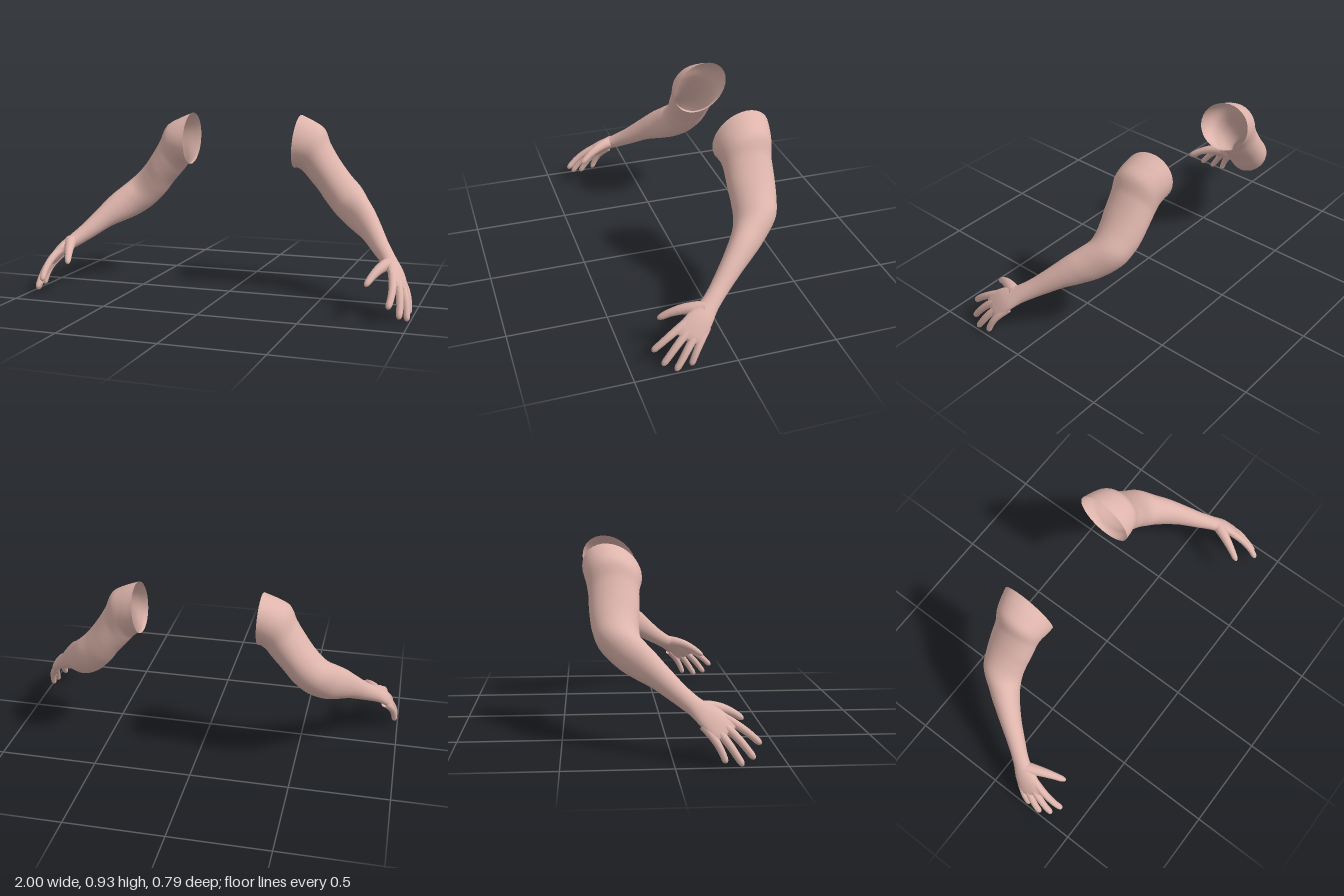
import * as THREE from 'three';

const V = (a) => new THREE.Vector3(...a);
const ACROSS = V([0.46, -0.42, -0.78]).normalize(); // across the palm, from index to little finger

// Smooth skin through stations of [centre, half-width vector, half-height vector]; side -1 mirrors it
function loft(stations, rings, sides, side) {
  const [c, u, v] = [0, 1, 2].map((k) => new THREE.CatmullRomCurve3(stations.map((s) => V(s[k]))));
  const pos = [], index = [];
  for (let i = 0; i <= rings; i++) {
    const t = i / rings, C = c.getPoint(t), U = u.getPoint(t), W = v.getPoint(t);
    for (let j = 0; j < sides; j++) {
      const a = (j / sides) * Math.PI * 2;
      const p = C.clone().addScaledVector(U, Math.cos(a)).addScaledVector(W, Math.sin(a));
      pos.push(p.x * side, p.y, p.z);
      if (i === rings) continue;
      const k = (j + 1) % sides, A = i * sides + j, B = i * sides + k;
      const quad = [A, B, A + sides, B, B + sides, A + sides];
      index.push(...(side > 0 ? quad : quad.reverse()));
    }
  }
  const g = new THREE.BufferGeometry();
  g.setAttribute('position', new THREE.Float32BufferAttribute(pos, 3));
  g.setIndex(index);
  g.computeVertexNormals();
  return g;
}

// Round tapering digit along a path, with a domed tip
function digit(path, r0, r1, side) {
  const curve = new THREE.CatmullRomCurve3(path.map(V));
  const steps = [[0, 1], [0.25, 1], [0.5, 1], [0.75, 1], [0.9, 1], [0.96, 0.78], [0.99, 0.42], [1, 0.02]];
  const stations = steps.map(([t, k]) => {
    const T = curve.getTangent(t);
    const u = ACROSS.clone().addScaledVector(T, -T.dot(ACROSS)).normalize();
    const v = T.clone().cross(u);
    const r = (r0 + (r1 - r0) * t) * k;
    return [curve.getPoint(t).toArray(), u.multiplyScalar(r).toArray(), v.multiplyScalar(r).toArray()];
  });
  return loft(stations, 28, 14, side);
}

// Shoulder opening to knuckles
const ARM = [
  [[0.303, 0.788, -0.25], [0, 0.03, -0.146], [0.007, 0.136, 0]],
  [[0.346, 0.773, -0.248], [0, 0.02, -0.141], [0.034, 0.122, 0]],
  [[0.388, 0.747, -0.247], [0, 0.01, -0.131], [0.053, 0.112, 0]],
  [[0.42, 0.693, -0.246], [0, 0, -0.122], [0.055, 0.092, 0]],
  [[0.473, 0.62, -0.245], [0, 0, -0.12], [0.05, 0.085, 0]],
  [[0.525, 0.55, -0.242], [0.01, 0, -0.112], [0.053, 0.08, 0.005]],
  [[0.585, 0.487, -0.225], [0.03, 0.01, -0.098], [0.05, 0.078, 0.02]],
  [[0.645, 0.435, -0.17], [0.043, 0, -0.066], [0.036, 0.08, 0.025]],
  [[0.69, 0.402, -0.12], [0.05, 0, -0.043], [0.025, 0.074, 0.026]],
  [[0.745, 0.357, -0.055], [0.042, 0, -0.035], [0.017, 0.058, 0.02]],
  [[0.81, 0.29, 0.03], [0.035, -0.002, -0.028], [0.013, 0.043, 0.016]],
  [[0.857, 0.247, 0.09], [0.03, -0.01, -0.029], [0.016, 0.034, 0.012]],
  [[0.905, 0.203, 0.16], [0.028, -0.026, -0.049], [0.02, 0.022, 0.002]],
  [[0.932, 0.157, 0.213], [0.031, -0.029, -0.054], [0.016, 0.015, 0.003]],
  [[0.942, 0.138, 0.234], [0.026, -0.024, -0.045], [0.01, 0.01, 0.002]],
  [[0.945, 0.132, 0.24], [0.001, -0.001, -0.002], [0.0005, 0.0005, 0]],
];

// name, path, base radius, tip radius
const DIGITS = [
  ['thumb', [[0.875, 0.238, 0.12], [0.845, 0.232, 0.19], [0.816, 0.207, 0.258], [0.787, 0.162, 0.328]], 0.034, 0.014],
  ['indexFinger', [[0.895, 0.207, 0.205], [0.91, 0.168, 0.278], [0.914, 0.125, 0.337], [0.907, 0.076, 0.39]], 0.021, 0.015],
  ['middleFinger', [[0.91, 0.195, 0.18], [0.937, 0.143, 0.252], [0.951, 0.085, 0.306], [0.955, 0.022, 0.355]], 0.021, 0.015],
  ['ringFinger', [[0.92, 0.18, 0.155], [0.956, 0.12, 0.218], [0.975, 0.065, 0.258], [0.985, 0.001, 0.3]], 0.021, 0.015],
  ['littleFinger', [[0.925, 0.168, 0.13], [0.962, 0.115, 0.176], [0.977, 0.07, 0.202], [0.984, 0.015, 0.225]], 0.02, 0.014],
];

export function createModel() {
  const model = new THREE.Group();
  const skin = new THREE.MeshStandardMaterial({ color: 0xdeb5ac, side: THREE.DoubleSide });
  skin.name = 'skin';

  for (const side of [1, -1]) {
    const arm = new THREE.Group();
    arm.name = side > 0 ? 'leftArm' : 'rightArm';
    const add = (name, geometry) => {
      const mesh = new THREE.Mesh(geometry, skin);
      mesh.name = name;
      arm.add(mesh);
    };
    add('armAndPalm', loft(ARM, 90, 36, side));
    for (const [name, path, r0, r1] of DIGITS) add(name, digit(path, r0, r1, side));
    model.add(arm);
  }
  return model;
}
